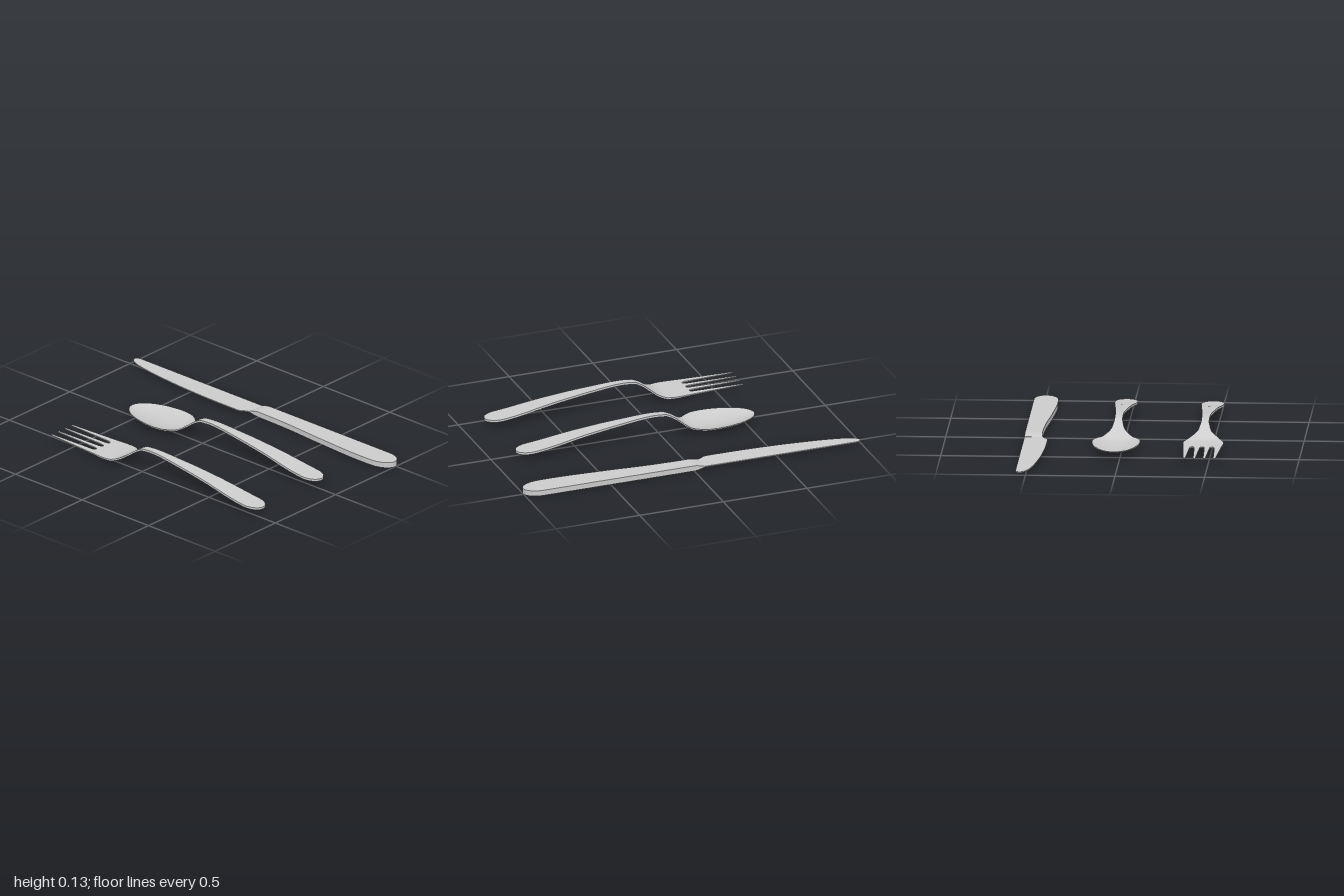
import * as THREE from 'three';
import { toCreasedNormals } from 'three/addons/utils/BufferGeometryUtils.js';

const material = new THREE.MeshStandardMaterial({ color: 0xcccccc });

// Smooth curve without overshoot through [z, value] pairs sorted by z
function profile(pts) {
  const n = pts.length;
  const slope = (i) => (pts[i + 1][1] - pts[i][1]) / (pts[i + 1][0] - pts[i][0]);
  const tangents = pts.map((_, i) => {
    if (i === 0) return slope(0);
    if (i === n - 1) return slope(n - 2);
    const a = slope(i - 1), b = slope(i);
    return a * b <= 0 ? 0 : (2 * a * b) / (a + b);
  });
  return (z) => {
    if (z <= pts[0][0]) return pts[0][1];
    if (z >= pts[n - 1][0]) return pts[n - 1][1];
    let i = 0;
    while (z > pts[i + 1][0]) i++;
    const h = pts[i + 1][0] - pts[i][0];
    const t = (z - pts[i][0]) / h, t2 = t * t, t3 = t2 * t;
    return (2 * t3 - 3 * t2 + 1) * pts[i][1] + (t3 - 2 * t2 + t) * h * tangents[i]
      + (3 * t2 - 2 * t3) * pts[i + 1][1] + (t3 - t2) * h * tangents[i + 1];
  };
}

// Elliptical fade from 1 to 0 over the last r units before an end
function round(distance, r) {
  const d = Math.min(Math.max(distance / r, 0), 1);
  return Math.max(Math.sqrt(1 - (1 - d) ** 2), 0.01);
}

// Plate running from z0 back to z1; edges, top height and thickness are functions of z
function plate(name, z0, z1, { left, right, top, thick, rows = 64, cols = 8 }) {
  const pos = [], index = [], ring = 2 * (cols + 1);
  for (let i = 0; i <= rows; i++) {
    const z = z0 + (z1 - z0) * (1 - Math.cos((Math.PI * i) / rows)) / 2;
    const l = left(z), r = right(z);
    for (let k = 0; k < ring; k++) {
      const under = k > cols;
      const u = (under ? ring - 1 - k : k) / cols;
      pos.push(l + (r - l) * u, top(z, 2 * u - 1) - (under ? thick(z) : 0), z);
    }
  }
  for (let i = 0; i < rows; i++) {
    for (let k = 0; k < ring; k++) {
      const a = i * ring + k, b = i * ring + ((k + 1) % ring);
      index.push(a, b, b + ring, a, b + ring, a + ring);
    }
  }
  const last = rows * ring;
  for (let k = 0; k < cols; k++) {
    const tl = k, tr = k + 1, bl = ring - 1 - k, br = ring - 2 - k;
    index.push(bl, br, tr, bl, tr, tl);
    index.push(last + bl, last + tr, last + br, last + bl, last + tl, last + tr);
  }
  const geo = new THREE.BufferGeometry();
  geo.setAttribute('position', new THREE.Float32BufferAttribute(pos, 3));
  geo.setIndex(index);
  const mesh = new THREE.Mesh(toCreasedNormals(geo, 0.6), material);
  mesh.name = name;
  return mesh;
}

// Arched handle shared by fork and spoon
const handleWidth = profile([[-0.06, 0.022], [0, 0.022], [0.4, 0.044], [0.75, 0.063], [0.87, 0.063]]);
const handleHalf = (z) => handleWidth(z) * round(0.863 - z, 0.09);
const arch = profile([[-0.24, 0.04], [-0.19, 0.042], [-0.15, 0.053], [-0.11, 0.078], [-0.07, 0.107],
  [-0.02, 0.129], [0.05, 0.134], [0.25, 0.12], [0.46, 0.097], [0.78, 0.051], [0.863, 0.046]]);

function makeFork() {
  const fork = new THREE.Group();
  fork.name = 'fork';
  const cx = -0.45, root = -0.34, tip = -0.652;
  const top = (z) => arch(z) - 0.007 + (z < -0.24 ? 0.002 * (-0.24 - z) : 0);
  const thick = profile([[tip, 0.004], [-0.35, 0.007], [-0.2, 0.01], [0, 0.013]]);

  fork.add(plate('forkHandle', 0.863, -0.05, {
    left: (z) => cx - handleHalf(z), right: (z) => cx + handleHalf(z), top, thick,
  }));

  // Shoulders widening into the flat head
  const head = profile([[tip, 0.09], [root, 0.107], [-0.24, 0.113], [-0.2, 0.109], [-0.15, 0.08],
    [-0.1, 0.036], [-0.05, 0.0222]]);
  fork.add(plate('forkHead', -0.05, root, {
    left: (z) => cx - head(z), right: (z) => cx + head(z), top, thick,
  }));

  // Four tapering tines parted by round-bottomed slots
  const slot = (z) => 0.012 * round(root - z, 0.025) + 0.01 * (root - z) / (root - tip);
  for (let i = 0; i < 4; i++) {
    const slotL = cx + (i - 2) * 0.056, slotR = slotL + 0.056;
    fork.add(plate('forkTine', root, tip, {
      left: i === 0 ? (z) => cx - head(z) : (z) => slotL + slot(z),
      right: i === 3 ? (z) => cx + head(z) : (z) => slotR - slot(z),
      top, thick, rows: 24, cols: 2,
    }));
  }
  return fork;
}

function makeSpoon() {
  const spoon = new THREE.Group();
  spoon.name = 'spoon';
  const cx = 0.033, tip = -0.56;
  const thick = profile([[tip, 0.006], [-0.2, 0.008], [0, 0.013]]);

  spoon.add(plate('spoonHandle', 0.863, -0.05, {
    left: (z) => cx - handleHalf(z), right: (z) => cx + handleHalf(z), top: (z) => arch(z), thick,
  }));

  // Oval bowl, dished between its level rims
  const neck = profile([[-0.29, 0.135], [-0.24, 0.13], [-0.19, 0.108], [-0.15, 0.075],
    [-0.1, 0.035], [-0.05, 0.0222]]);
  const half = (z) => neck(z) * round(z - tip, 0.28);
  const depth = profile([[tip, 0], [-0.52, 0.012], [-0.44, 0.021], [-0.32, 0.025], [-0.2, 0.02],
    [-0.14, 0.006], [-0.08, 0]]);
  const rim = (z) => Math.max(arch(z), 0.048);
  spoon.add(plate('spoonBowl', -0.05, tip, {
    left: (z) => cx - half(z), right: (z) => cx + half(z),
    top: (z, u) => rim(z) - depth(z) * (1 - u * u), thick, cols: 20,
  }));
  return spoon;
}

function makeKnife() {
  const knife = new THREE.Group();
  knife.name = 'knife';
  const spine = 0.557, mid = 0.016;

  // Thick handle with a rounded butt and a short taper into the blade
  const grip = profile([[-0.06, 0.456], [0, 0.46], [0.2, 0.455], [0.5, 0.433], [0.8, 0.418], [1, 0.422]]);
  const gripThick = profile([[-0.06, 0.007], [-0.04, 0.018], [0, 0.032], [1, 0.032]]);
  const butt = 0.493;
  knife.add(plate('knifeHandle', 1, -0.06, {
    left: (z) => butt + (grip(z) - butt) * round(1 - z, 0.12),
    right: (z) => butt + (spine - butt) * round(1 - z, 0.1),
    top: (z) => mid + gripThick(z) / 2, thick: gripThick,
  }));

  // Thin blade with a stepped heel and a swept edge
  const edge = profile([[-1, 0.527], [-0.985, 0.512], [-0.95, 0.494], [-0.88, 0.476], [-0.75, 0.456],
    [-0.5, 0.433], [-0.3, 0.425], [-0.13, 0.424], [-0.105, 0.428], [-0.085, 0.442], [-0.05, 0.457]]);
  const bladeThick = () => 0.006;
  knife.add(plate('knifeBlade', -0.04, -1, {
    left: edge,
    right: (z) => 0.53 + (spine - 0.53) * round(z + 1, 0.03),
    top: () => mid + 0.003, thick: bladeThick,
  }));
  return knife;
}

export function createModel() {
  const model = new THREE.Group();
  model.name = 'cutlerySet';
  model.add(makeFork(), makeSpoon(), makeKnife());
  return model;
}
